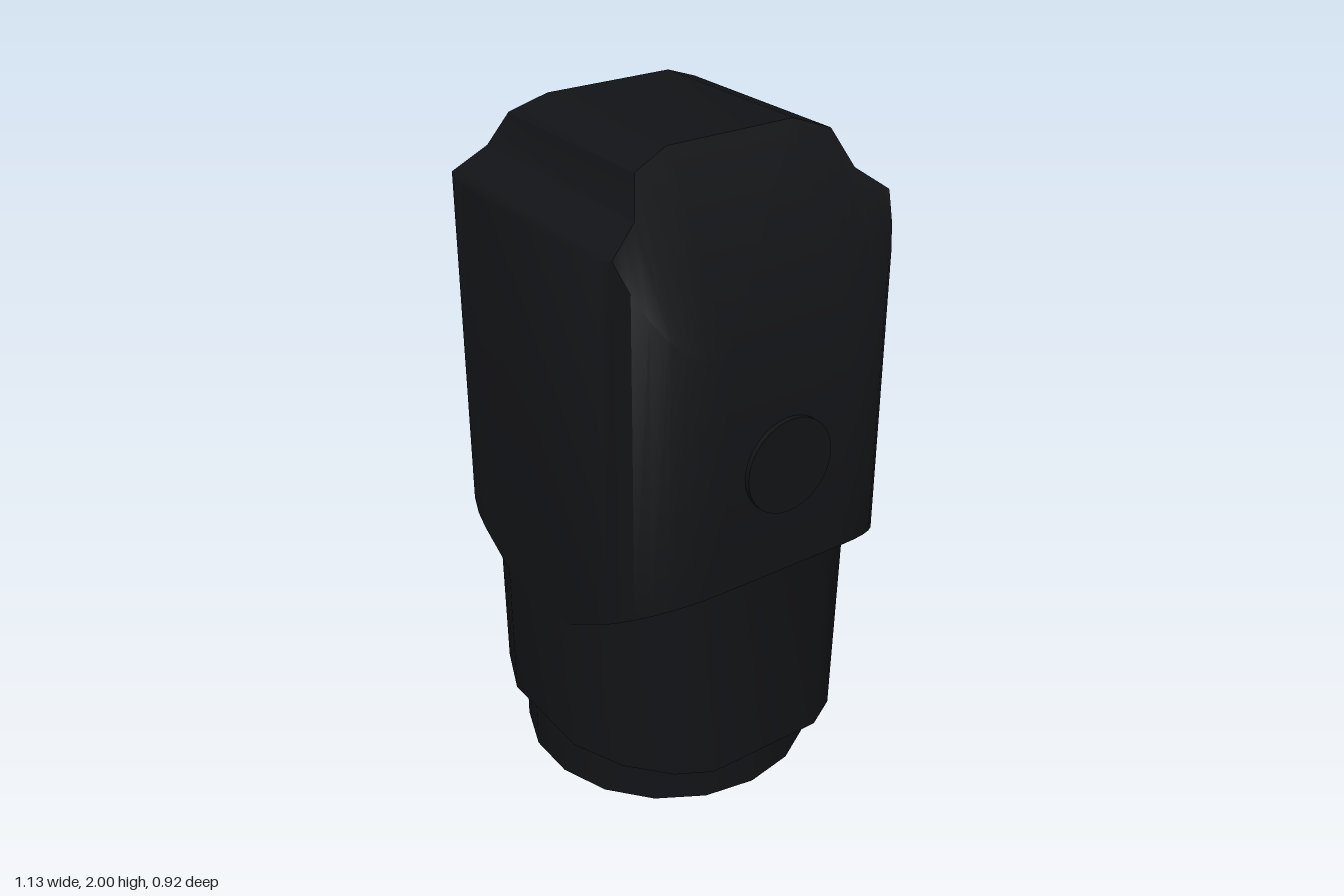
import * as THREE from 'three';
import { toCreasedNormals } from 'three/addons/utils/BufferGeometryUtils.js';

const material = new THREE.MeshStandardMaterial({ color: 0x121316 });

function add(group, name, geometry) {
  const mesh = new THREE.Mesh(geometry, material);
  mesh.name = name;
  group.add(mesh);
}

// Piecewise linear lookup through [key, value] pairs with rising keys
function lookup(pairs, key) {
  for (let i = 1; i < pairs.length; i++) {
    const [k0, v0] = pairs[i - 1], [k1, v1] = pairs[i];
    if (key <= k1) return v0 + (v1 - v0) * (key - k0) / (k1 - k0);
  }
  return pairs[pairs.length - 1][1];
}

// Head: rounded plan, stepped roof along z, chamfered sides and sloping underside
function headGeometry() {
  const roof = [[0, 2], [0.2, 2], [0.31, 1.96], [0.35, 1.86], [0.46, 1.78]];
  const plan = [[0, 0.55]];
  for (let i = 0; i <= 8; i++) {
    const a = i * Math.PI / 16;
    plan.push([0.22 + 0.24 * Math.sin(a), 0.31 + 0.24 * Math.cos(a)]);
  }
  const half = [0.2, 0.31, 0.35, 0.442, ...plan.slice(1).map(p => p[0])].sort((a, b) => a - b);
  const rows = [...half.map(z => -z).reverse(), ...half];

  // One section across x for each row, clockwise seen from the front
  const rings = rows.map(z => {
    const w = lookup(plan, Math.abs(z)), top = lookup(roof, Math.abs(z));
    const crest = Math.min(w, 0.28 + (2 - top) * 0.574);
    const side = Math.min(top, 1.53 + (0.55 - w) / 0.574);
    const low = 0.83 - (0.55 - w) * 0.58;
    return [[-w, side], [-crest, top], [crest, top], [w, side],
      [w, low], [0.17, 0.61], [-0.17, 0.61], [-w, low]].map(([x, y]) => new THREE.Vector3(x, y, z));
  });

  const pos = [];
  const tri = (a, b, c) => {
    const area = b.clone().sub(a).cross(c.clone().sub(a)).length();
    if (area > 1e-7) for (const p of [a, b, c]) pos.push(p.x, p.y, p.z);
  };
  for (let r = 0; r < rings.length - 1; r++) {
    const A = rings[r], B = rings[r + 1];
    for (let i = 0; i < 8; i++) {
      const j = (i + 1) % 8;
      tri(A[i], B[i], B[j]);
      tri(A[i], B[j], A[j]);
    }
  }
  const back = rings[0], front = rings[rings.length - 1];
  for (let i = 1; i < 7; i++) {
    tri(front[0], front[i + 1], front[i]);
    tri(back[0], back[i], back[i + 1]);
  }
  const g = new THREE.BufferGeometry();
  g.setAttribute('position', new THREE.Float32BufferAttribute(pos, 3));
  return toCreasedNormals(g, 1.02);
}

// Neck: softly rounded plan that widens slightly in x towards the top
function neckGeometry() {
  const corner = [[0.505, 0.19], [0.448, 0.292], [0.33, 0.393], [0.17, 0.459]];
  const mirrored = corner.map(([x, y]) => [-x, y]).reverse();
  const outline = [...corner, ...mirrored];
  outline.push(...outline.map(([x, y]) => [-x, -y]));
  const shape = new THREE.Shape(outline.map(([x, y]) => new THREE.Vector2(x, y)));

  const g = new THREE.ExtrudeGeometry(shape, { depth: 0.66, bevelEnabled: false });
  g.rotateX(-Math.PI / 2).translate(0, 0.17, 0);
  const p = g.attributes.position;
  for (let i = 0; i < p.count; i++) p.setX(i, p.getX(i) * (1 + 0.04 * (p.getY(i) - 0.17) / 0.66));
  return toCreasedNormals(g, 0.8);
}

export function createModel() {
  const model = new THREE.Group();
  model.name = 'model';

  add(model, 'head', headGeometry());
  add(model, 'neck', neckGeometry());

  // Round plug at the foot
  const base = new THREE.CylinderGeometry(0.45, 0.45, 0.19, 18);
  add(model, 'base', base.rotateY(Math.PI / 2).translate(0, 0.095, 0));

  // Round button on each side
  for (const side of [1, -1]) {
    const disc = new THREE.CylinderGeometry(0.14, 0.14, 0.06, 32);
    disc.rotateZ(Math.PI / 2).translate(side * 0.535, 1.165, 0);
    add(model, side > 0 ? 'leftButton' : 'rightButton', disc);
  }
  return model;
}
